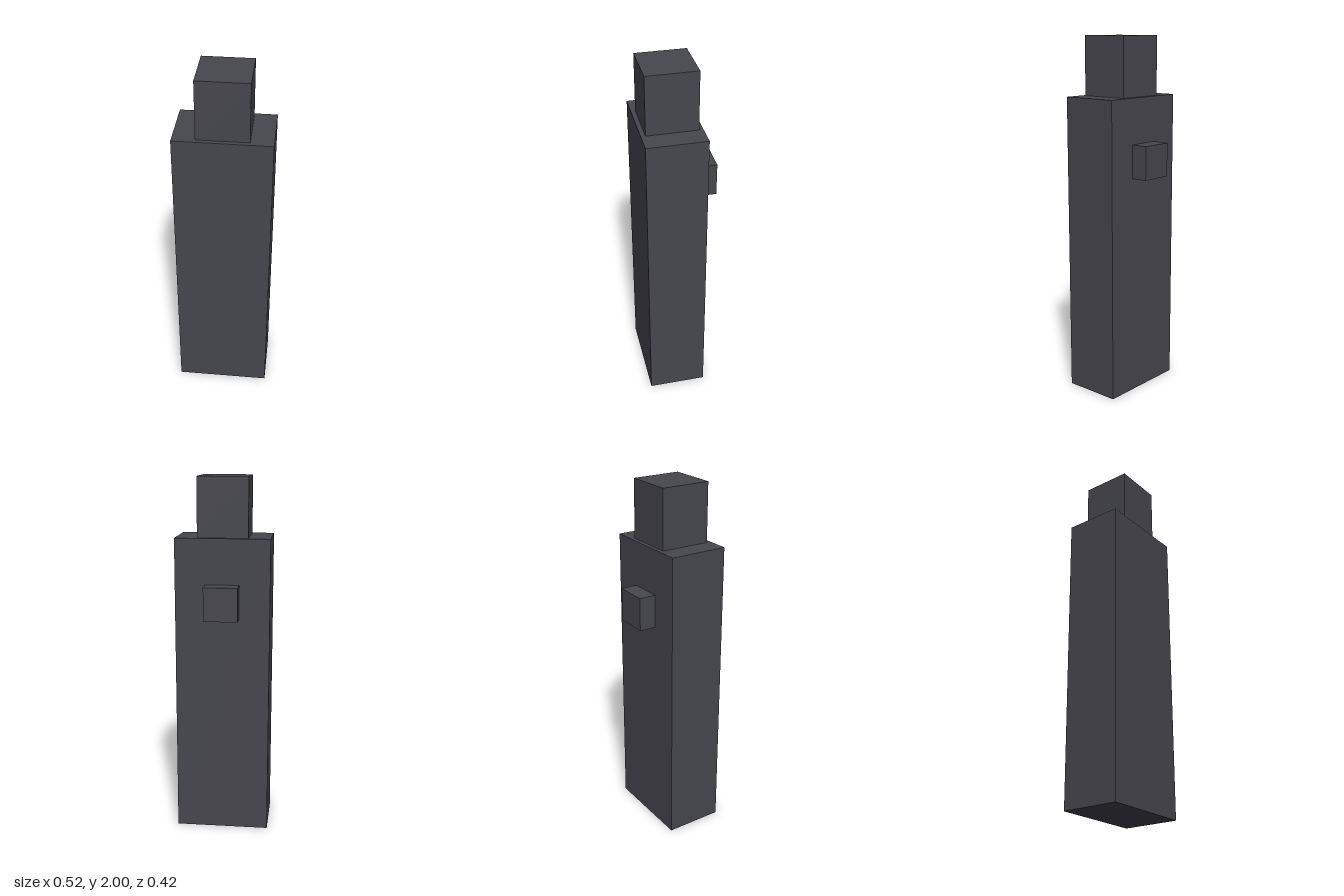
import * as THREE from 'three';

export function createModel() {
  const model = new THREE.Group();
  const darkGrey = new THREE.MeshStandardMaterial({ color: 0x46464e });
  darkGrey.name = 'darkGrey';

  // Box given by its lower and upper corners
  const addBox = (name, [x0, y0, z0], [x1, y1, z1]) => {
    const mesh = new THREE.Mesh(new THREE.BoxGeometry(x1 - x0, y1 - y0, z1 - z0), darkGrey);
    mesh.name = name;
    mesh.position.set((x0 + x1) / 2, (y0 + y1) / 2, (z0 + z1) / 2);
    model.add(mesh);
  };

  // Tall main block
  addBox('body', [-0.26, 0, -0.116], [0.26, 1.675, 0.209]);
  // Smaller block on top
  addBox('topBlock', [-0.139, 1.675, -0.093], [0.139, 2, 0.185]);
  // Small block on the back
  addBox('backBlock', [-0.093, 1.24, -0.209], [0.093, 1.425, -0.116]);

  return model;
}
